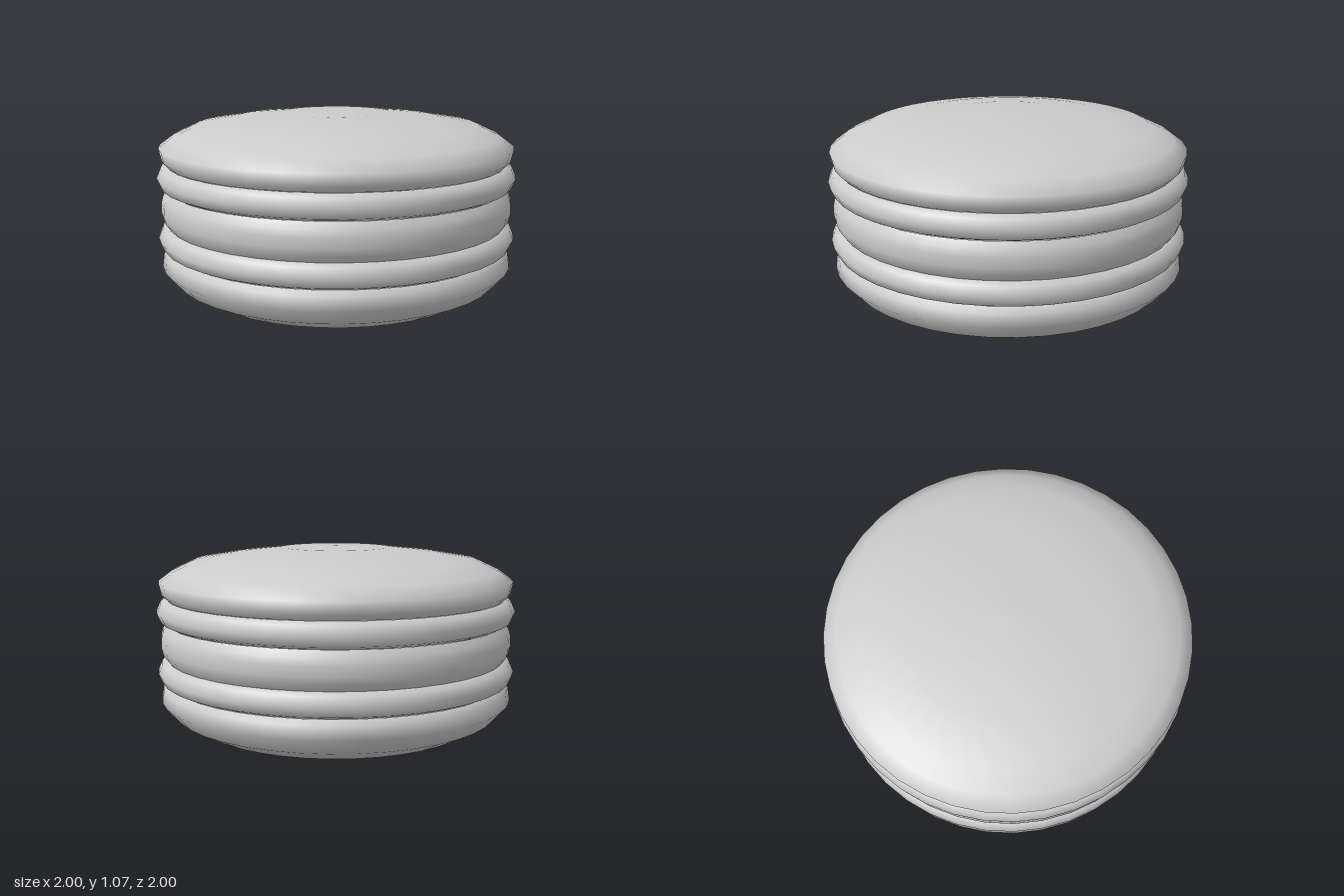
import * as THREE from 'three';

const SEGMENTS = 40;

// Each layer is its own smooth lathe, so the seams between layers stay sharp.
// Profiles are [radius, height] from bottom to top.
const layers = {
  bottomShell: [[0, 0], [0.3, 0.005], [0.57, 0.035], [0.785, 0.075], [0.91, 0.14],
    [0.985, 0.225], [0.975, 0.295], [0.94, 0.32]],
  filling: [[0.945, 0.455], [0.97, 0.49], [0.98, 0.53], [0.98, 0.58], [0.97, 0.62], [0.945, 0.655]],
  topShell: [[0.94, 0.79], [0.97, 0.82], [0.985, 0.885], [0.91, 0.94], [0.785, 0.998],
    [0.57, 1.033], [0.3, 1.062], [0, 1.067]],
};

// Rounded ruffle between a shell and the filling
const ruffle = (y) => [[0.94, y - 0.067], [0.978, y - 0.05], [1, y], [0.978, y + 0.05], [0.94, y + 0.067]];
layers.lowerRuffle = ruffle(0.388);
layers.upperRuffle = ruffle(0.722);

export function createModel() {
  const group = new THREE.Group();
  const material = new THREE.MeshStandardMaterial({ color: 0xcccccc, side: THREE.DoubleSide });
  for (const [name, profile] of Object.entries(layers)) {
    const points = profile.map(([r, y]) => new THREE.Vector2(r, y));
    const mesh = new THREE.Mesh(new THREE.LatheGeometry(points, SEGMENTS), material);
    mesh.name = name;
    group.add(mesh);
  }
  return group;
}
